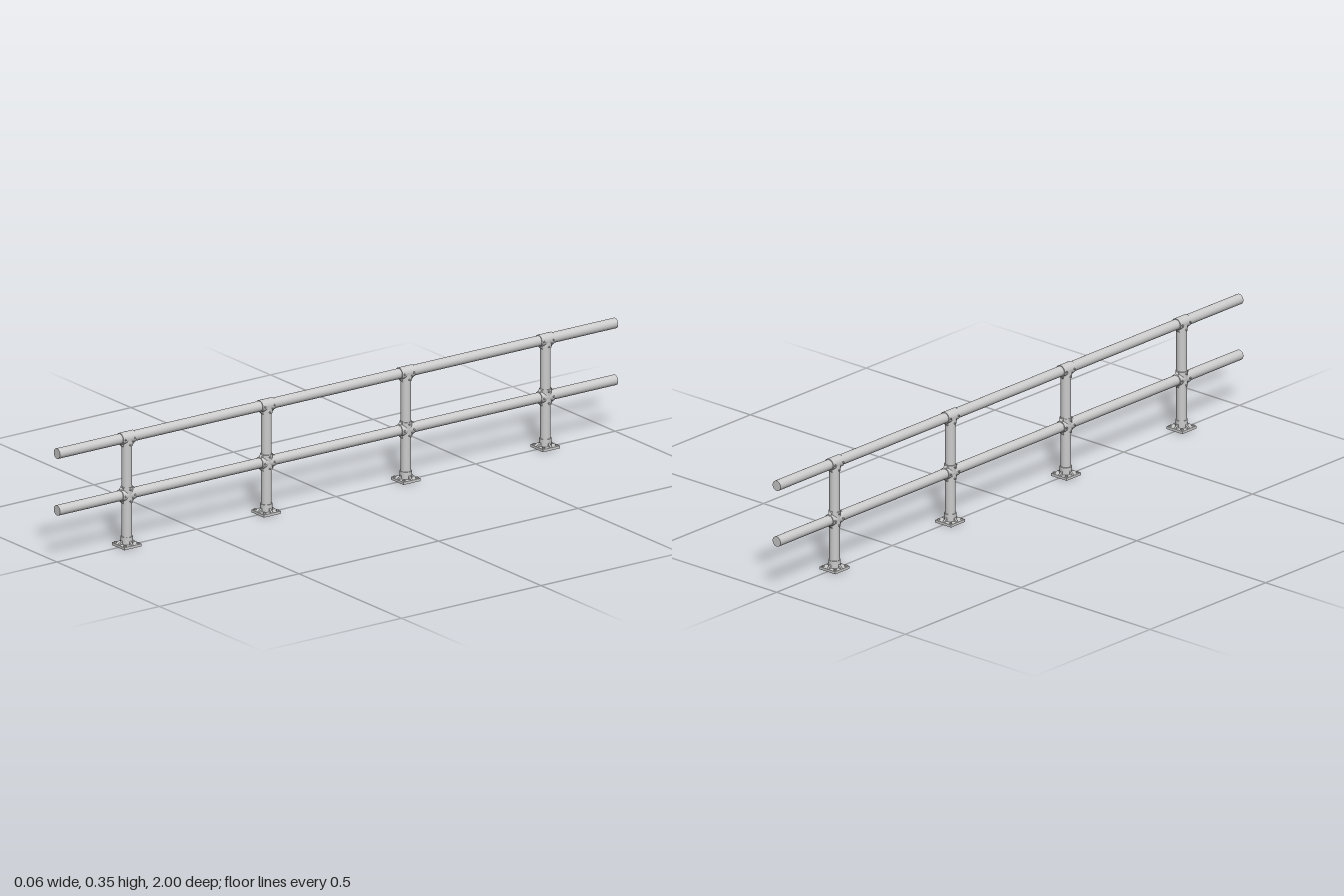
import * as THREE from 'three';

const TOP = 0.33, MID = 0.157, PIPE = 0.0155, SLEEVE = 0.0178, REACH = 0.024, PLATE = 0.0305;

export function createModel() {
  const model = new THREE.Group();
  const steel = new THREE.MeshStandardMaterial({ color: 0xcccccc });

  const add = (parent, name, geometry, x = 0, y = 0, z = 0) => {
    const mesh = new THREE.Mesh(geometry, steel);
    mesh.name = name;
    mesh.position.set(x, y, z);
    parent.add(mesh);
    return mesh;
  };
  const pipe = (r, length) => new THREE.CylinderGeometry(r, r, length, 32);
  const pipeZ = (r, length) => pipe(r, length).rotateX(Math.PI / 2);
  const screwGeo = new THREE.CylinderGeometry(0.0027, 0.0027, 0.042, 12).rotateZ(Math.PI / 2);

  // Triangular web: right angle at the origin, legs along +x and +y
  const webGeometry = (width, height, thickness) => {
    const shape = new THREE.Shape();
    shape.moveTo(0, 0);
    shape.lineTo(width, 0);
    shape.lineTo(0, height);
    return new THREE.ExtrudeGeometry(shape, { depth: thickness, bevelEnabled: false })
      .translate(0, 0, -thickness / 2);
  };
  const gussetGeo = webGeometry(0.0145, 0.0125, 0.006);
  const filletGeo = webGeometry(0.011, 0.011, 0.012);

  // Two long rails
  add(model, 'topRail', pipeZ(PIPE, 2), 0, TOP, 0);
  add(model, 'middleRail', pipeZ(PIPE, 2), 0, MID, 0);

  const buildPost = () => {
    const group = new THREE.Group();
    group.name = 'post';
    add(group, 'upright', pipe(PIPE, TOP - 0.004), 0, (TOP + 0.004) / 2, 0);

    // Base flange with socket, gussets and corner bolts
    add(group, 'basePlate', new THREE.BoxGeometry(PLATE * 2, 0.008, PLATE * 2), 0, 0.004, 0);
    add(group, 'baseSocket', pipe(SLEEVE, 0.024), 0, 0.018, 0);
    for (let i = 0; i < 4; i++) {
      const side = new THREE.Group();
      side.name = 'baseCorner';
      side.rotation.y = i * Math.PI / 2;
      add(side, 'gusset', gussetGeo, 0.0155, 0.0075, 0);
      add(side, 'bolt', new THREE.CylinderGeometry(0.0042, 0.0042, 0.004, 6), 0.0235, 0.0095, 0.0235);
      group.add(side);
    }

    // Tee fitting at the top rail
    add(group, 'teeSleeve', pipeZ(SLEEVE, REACH * 2), 0, TOP, 0);
    add(group, 'teeSocket', pipe(SLEEVE, REACH), 0, TOP - REACH / 2, 0);

    // Cross fitting at the middle rail
    add(group, 'crossSleeve', pipeZ(SLEEVE, REACH * 2), 0, MID, 0);
    add(group, 'crossSocket', pipe(SLEEVE, REACH * 2), 0, MID, 0);

    // Webs in the fitting corners
    for (const [y, up] of [[TOP, -1], [MID, -1], [MID, 1]]) {
      for (const dir of [-1, 1]) {
        const web = add(group, 'fittingWeb', filletGeo, 0, y + up * 0.015, dir * 0.015);
        web.rotation.set(up < 0 ? Math.PI : 0, up * dir * -Math.PI / 2, 0);
      }
    }

    // Set screws through both flanks of the fittings
    const screws = [[TOP, 0.017], [TOP, -0.017], [TOP - 0.019, 0],
      [MID, 0.017], [MID, -0.017], [MID + 0.0175, 0], [MID - 0.0175, 0]];
    for (const [y, z] of screws) add(group, 'setScrew', screwGeo, 0, y, z);
    return group;
  };

  // Four evenly spaced posts
  for (let i = 0; i < 4; i++) {
    const post = buildPost();
    post.position.z = -0.75 + i * 0.5;
    model.add(post);
  }
  return model;
}
